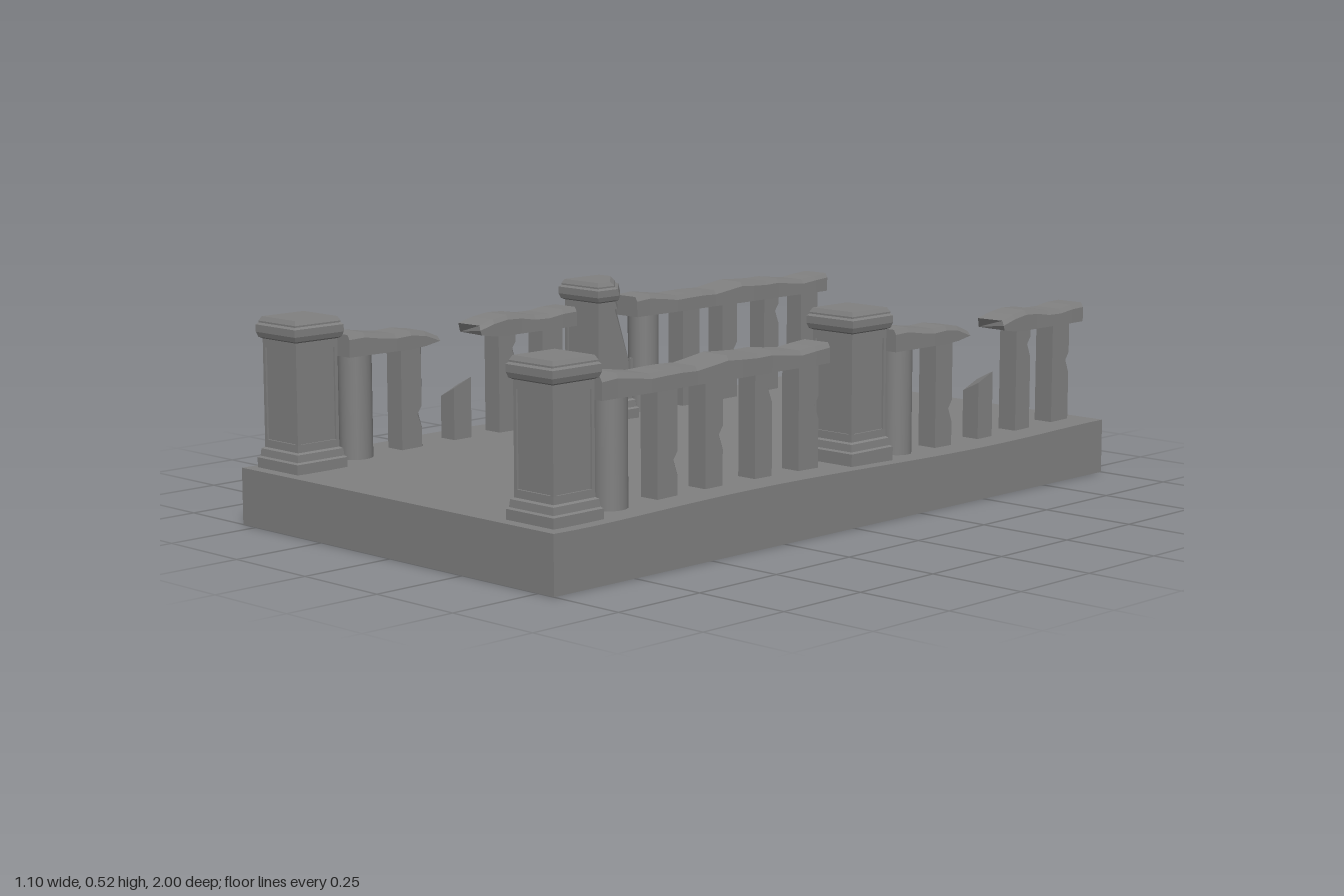
import * as THREE from 'three';

const stone = new THREE.MeshStandardMaterial({ color: 0x808080 });
stone.name = 'grey stone';

// Skin a row of convex rings (each counter-clockwise seen from the far end), flat shaded and capped
function loft(rings) {
  const pos = [];
  const tri = (...pts) => pts.forEach((p) => pos.push(...p));
  const n = rings[0].length;
  for (let r = 0; r < rings.length - 1; r++) {
    const a = rings[r], b = rings[r + 1];
    for (let i = 0; i < n; i++) {
      const j = (i + 1) % n;
      tri(a[i], a[j], b[j]);
      tri(a[i], b[j], b[i]);
    }
  }
  const first = rings[0], last = rings[rings.length - 1];
  for (let i = 1; i < n - 1; i++) {
    tri(first[0], first[i + 1], first[i]);
    tri(last[0], last[i], last[i + 1]);
  }
  const g = new THREE.BufferGeometry();
  g.setAttribute('position', new THREE.Float32BufferAttribute(pos, 3));
  g.computeVertexNormals();
  return g;
}

function add(parent, name, geometry, x = 0, y = 0, z = 0) {
  const m = new THREE.Mesh(geometry, stone);
  m.name = name;
  m.position.set(x, y, z);
  parent.add(m);
  return m;
}

// Horizontal rectangle, with its +x -z corner cut by c
function square(hx, hz, y, c = 0) {
  const ring = [[-hx, y, hz], [hx, y, hz]];
  if (c > 0) ring.push([hx, y, -hz + c], [hx - c, y, -hz]);
  else ring.push([hx, y, -hz]);
  ring.push([-hx, y, -hz]);
  return ring;
}

// Worn bridge deck, gently waved along its length
function deck() {
  const g = new THREE.BoxGeometry(1.1, 0.14, 2, 1, 1, 32);
  g.translate(0, 0.07, 0);
  const p = g.attributes.position;
  for (let i = 0; i < p.count; i++) {
    const z = p.getZ(i);
    if (p.getY(i) > 0.1) {
      p.setY(i, 0.141 + 0.007 * Math.cos((z - 0.35) * 3.6) * (1 - z ** 6));
    }
  }
  g.computeVertexNormals();
  return g;
}

// Half-width and height up the pillar: stepped base, recessed shaft, moulded cap
const PILLAR = [
  [0.077, 0.12], [0.077, 0.168], [0.072, 0.172], [0.07, 0.19], [0.064, 0.194],
  [0.0635, 0.213], [0.0585, 0.213], [0.0585, 0.3], [0.0585, 0.439], [0.0635, 0.439],
  [0.0635, 0.46], [0.071, 0.464], [0.075, 0.476], [0.075, 0.494], [0.07, 0.499],
  [0.07, 0.503], [0.064, 0.514],
];

function pillar(x, z, broken, lift = 0) {
  const group = new THREE.Group();
  group.name = broken ? 'brokenPillar' : 'pillar';
  const cut = (y) => 0.004 + Math.max(0, y - 0.29) * 0.36;
  const rings = PILLAR.map(([h, y]) => square(h, h, y, broken ? cut(y) : 0));
  add(group, 'pillarBody', loft(rings));
  // Raised corner strips that frame the four panels
  for (const sx of [-1, 1]) for (const sz of [-1, 1]) {
    const height = broken && sx > 0 && sz < 0 ? 0.09 : 0.228;
    add(group, 'panelFrame', new THREE.BoxGeometry(0.009, height, 0.009),
      sx * 0.059, 0.212 + height / 2, sz * 0.059);
  }
  group.position.set(x, lift, z);
  return group;
}

// Square baluster with a chipped corner part way up
function post(parent, z, width, chipY) {
  const hx = 0.027, hz = width / 2;
  const rings = [[0.12, 0.003], [chipY - 0.035, 0.003], [chipY, 0.017], [chipY + 0.02, 0.003], [0.41, 0.003]]
    .map(([y, c]) => square(hx, hz, y, c));
  add(parent, 'post', loft(rings), 0, 0, z);
}

// Hand rail from z0 to z1; a broken end thins out and is ragged
function rail(parent, z0, z1, brokenStart, brokenEnd) {
  const rings = [];
  const steps = Math.max(6, Math.round((z1 - z0) / 0.05));
  for (let i = 0; i <= steps; i++) {
    const t = i / steps, z = z0 + (z1 - z0) * t;
    const near = Math.max(brokenStart ? 1 - (z - z0) / 0.1 : 0, brokenEnd ? 1 - (z1 - z) / 0.1 : 0, 0);
    const top = 0.45 + 0.006 * Math.sin(z * 14 + 3.2) + 0.003 * Math.sin(z * 37) - 0.022 * near * near;
    const bottom = 0.4 + 0.01 * near * near;
    const jag = brokenStart && i === 0 ? 0.012 : brokenEnd && i === steps ? -0.012 : 0;
    const w = 0.044 + 0.0015 * Math.sin(z * 23);
    rings.push([
      [-w, bottom, z + jag], [w, bottom, z + jag * 0.4], [w, top - 0.012, z],
      [w - 0.007, top, z + jag * 0.3], [-w + 0.007, top, z], [-w, top - 0.012, z + jag],
    ]);
  }
  add(parent, 'handRail', loft(rings));
}

function balustrade(x, z, broken) {
  const group = new THREE.Group();
  group.name = broken ? 'brokenBalustrade' : 'balustrade';
  // Round post beside the pillar
  add(group, 'roundPost', new THREE.CylinderGeometry(0.042, 0.042, 0.29, 20), 0, 0.265, 0.72);
  post(group, 0.56, 0.068, 0.23);
  post(group, 0.235, 0.062, 0.36);
  post(group, 0.075, 0.074, 0.3);
  if (broken) {
    rail(group, 0.005, 0.345, false, true);
    rail(group, 0.477, 0.77, true, false);
    // Snapped stub in the gap
    const stub = square(0.025, 0.029, 0.28).map(([a, y, c]) => [a, y + a * 0.5 - c * 0.4, c]);
    add(group, 'brokenPost', loft([square(0.025, 0.029, 0.12), stub]), 0, 0, 0.39);
  } else {
    rail(group, 0.02, 0.785, false, false);
    post(group, 0.405, 0.062, 0.27);
  }
  group.position.set(x, 0, z);
  return group;
}

export function createModel() {
  const model = new THREE.Group();
  model.name = 'stoneBridge';
  add(model, 'deck', deck());
  model.add(
    pillar(-0.453, 0.89, false, -0.003),
    pillar(0.438, 0.89, false, -0.003),
    pillar(-0.443, -0.107, true, -0.003),
    pillar(0.438, -0.105, false, 0.005),
    balustrade(0.44, 0, false),
    balustrade(-0.455, -1.005, false),
    balustrade(-0.455, 0, true),
    balustrade(0.445, -0.992, true),
  );
  return model;
}
